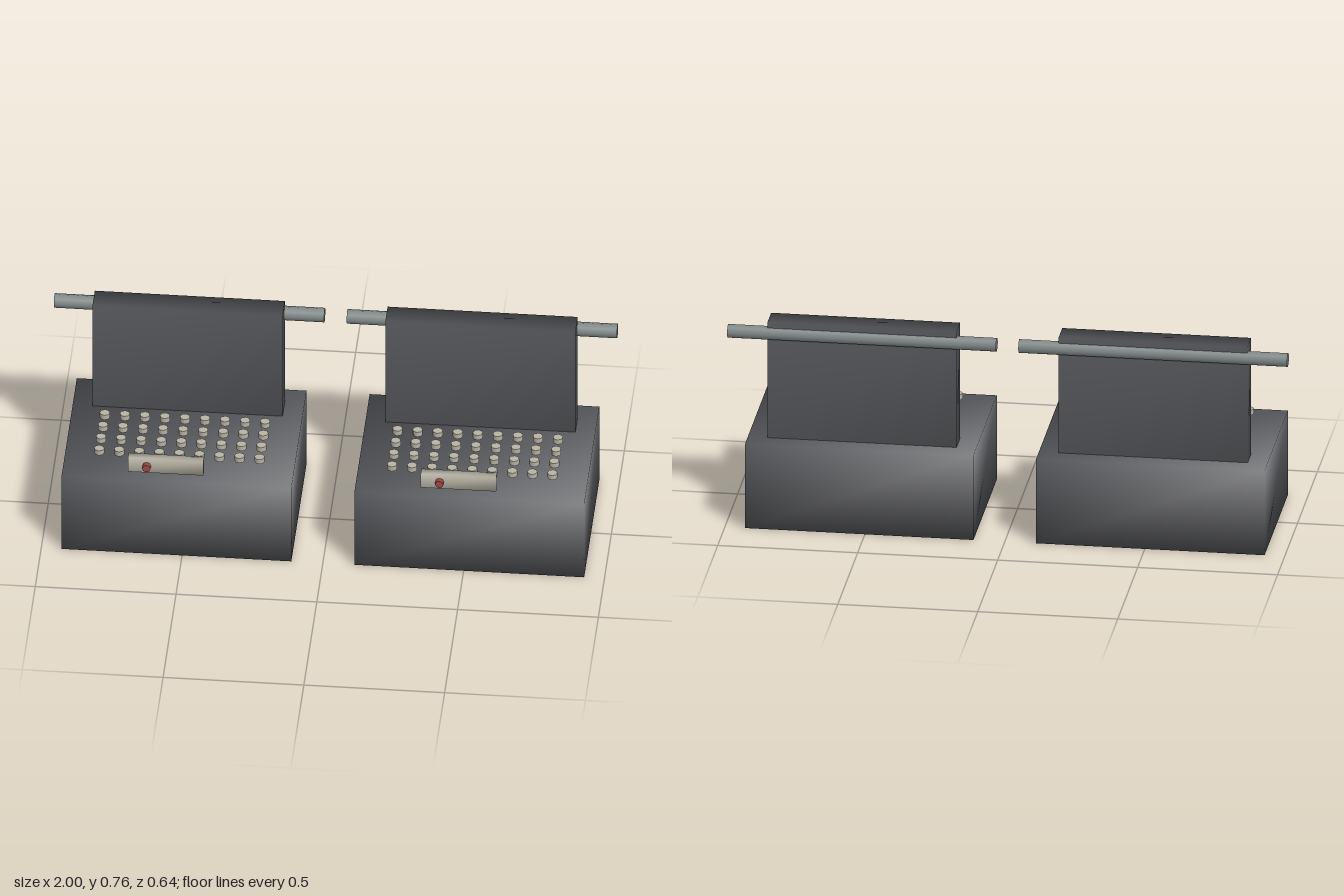
import * as THREE from 'three';
import { mergeVertices } from 'three/addons/utils/BufferGeometryUtils.js';

const paint = (color) => new THREE.MeshStandardMaterial({ color });

// Box whose corners share vertices, so shading runs softly across the edges
function softBox(w, h, d) {
  const box = new THREE.BoxGeometry(w, h, d);
  box.deleteAttribute('normal');
  box.deleteAttribute('uv');
  const merged = mergeVertices(box);
  merged.computeVertexNormals();
  return merged;
}

function addPart(group, name, geometry, material, x, y, z) {
  const mesh = new THREE.Mesh(geometry, material);
  mesh.name = name;
  mesh.position.set(x, y, z);
  group.add(mesh);
  return mesh;
}

export function createModel() {
  const model = new THREE.Group();
  model.name = 'typewriterPair';

  const dark = paint(0x55565a);
  const steel = paint(0x808888);
  const cream = paint(0xb8b4a6);
  const red = paint(0x9c4a4a);

  const bodyGeo = softBox(0.816, 0.32, 0.587);
  const panelGeo = softBox(0.675, 0.44, 0.089);
  const plateGeo = softBox(0.268, 0.06, 0.031);
  const rollerGeo = new THREE.CylinderGeometry(0.026, 0.026, 0.96, 8).rotateZ(Math.PI / 2);
  const keyGeo = new THREE.CylinderGeometry(0.018, 0.018, 0.02, 8);
  const buttonGeo = new THREE.CylinderGeometry(0.015, 0.015, 0.02, 8).rotateX(Math.PI / 2);

  for (const side of [-1, 1]) {
    const machine = new THREE.Group();
    machine.name = side < 0 ? 'rightTypewriter' : 'leftTypewriter';
    machine.position.x = side * 0.52;
    model.add(machine);

    // Body, upright back panel and the roller behind it
    addPart(machine, 'body', bodyGeo, dark, 0, 0.16, -0.027);
    addPart(machine, 'backPanel', panelGeo, dark, 0, 0.54, -0.205);
    addPart(machine, 'roller', rollerGeo, steel, 0, 0.715, -0.24);

    // Four rows of nine round keys
    const keys = new THREE.Group();
    keys.name = 'keys';
    machine.add(keys);
    for (let row = 0; row < 4; row++) {
      for (let col = 0; col < 9; col++) {
        addPart(keys, 'key', keyGeo, cream, (col - 4) * 0.0712, 0.357, 0.152 - row * 0.0713);
      }
    }

    // Front plate with its small round button
    addPart(machine, 'frontPlate', plateGeo, cream, -0.035, 0.412, 0.288);
    addPart(machine, 'button', buttonGeo, red, -0.102, 0.412, 0.312);
  }
  return model;
}
